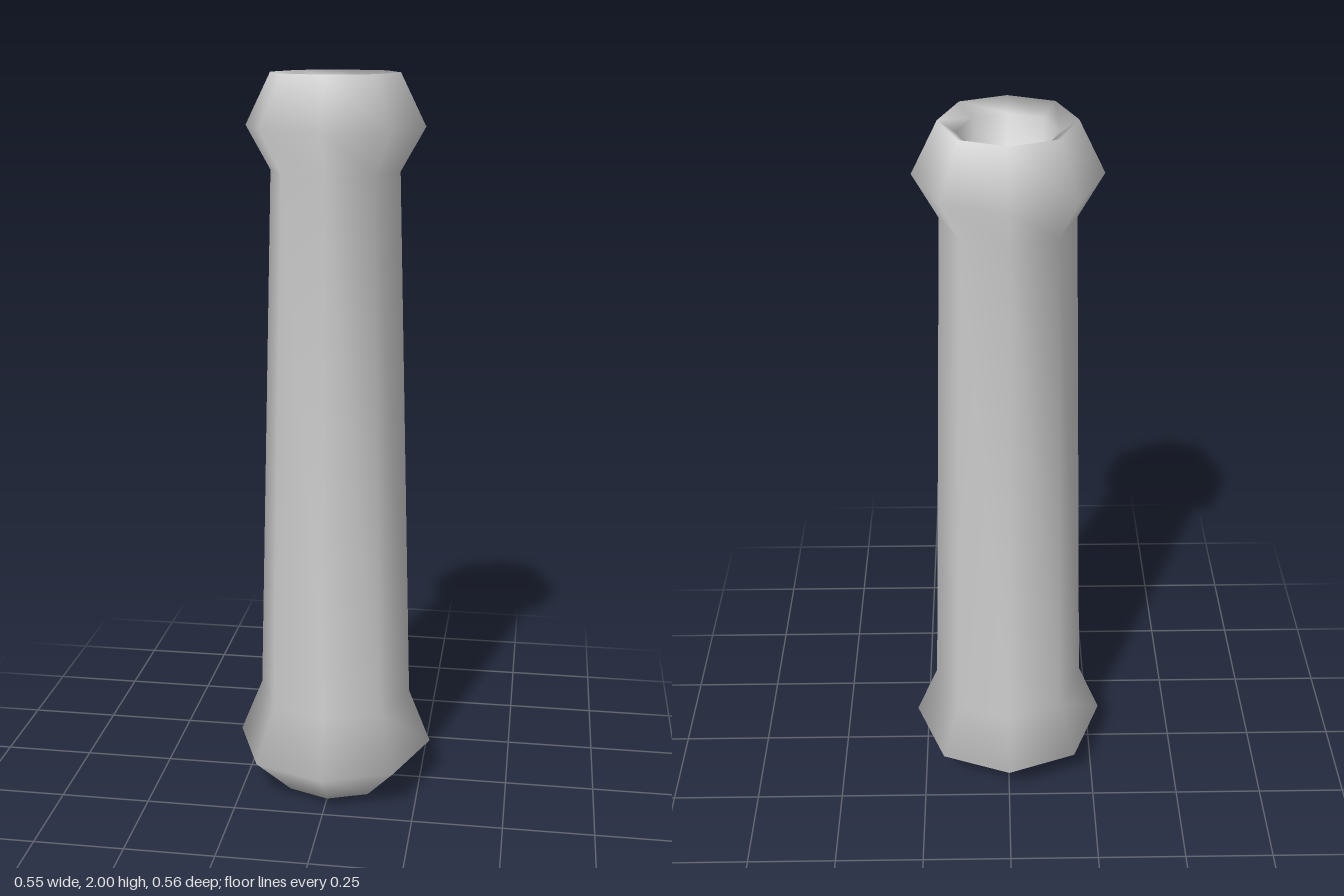
import * as THREE from 'three';
import { mergeVertices } from 'three/addons/utils/BufferGeometryUtils.js';

// Smooth eight-sided turned body; corners off the axes are pushed slightly in z
function turned(profile) {
  let geo = new THREE.LatheGeometry(profile.map(([r, y]) => new THREE.Vector2(r, y)), 8);
  const p = geo.attributes.position;
  for (let i = 0; i < p.count; i++) {
    const x = p.getX(i), z = p.getZ(i);
    const diagonal = Math.abs(x) > 1e-4 && Math.abs(z) > 1e-4;
    p.setX(i, diagonal ? x * 0.987 : x);
    p.setZ(i, z * (diagonal ? 1.075 : 1.018));
  }
  geo.deleteAttribute('normal');
  geo.deleteAttribute('uv');
  geo = mergeVertices(geo, 1e-4);
  geo.computeVertexNormals();
  return geo;
}

export function createModel() {
  const group = new THREE.Group();
  group.name = 'handle';
  const material = new THREE.MeshStandardMaterial({ color: 0xcccccc, side: THREE.DoubleSide });

  const profile = [
    [0, 0], [0.16, 0],              // underside
    [0.277, 0.12], [0.215, 0.275],  // flared foot
    [0.172, 1.75],                  // tapering shaft
    [0.237, 1.865], [0.17, 2],      // collar
    [0.125, 1.97], [0.12, 1.86], [0, 1.86], // sloped lip and socket
  ];
  const body = new THREE.Mesh(turned(profile), material);
  body.name = 'gripWithFootAndCollar';
  group.add(body);
  return group;
}
